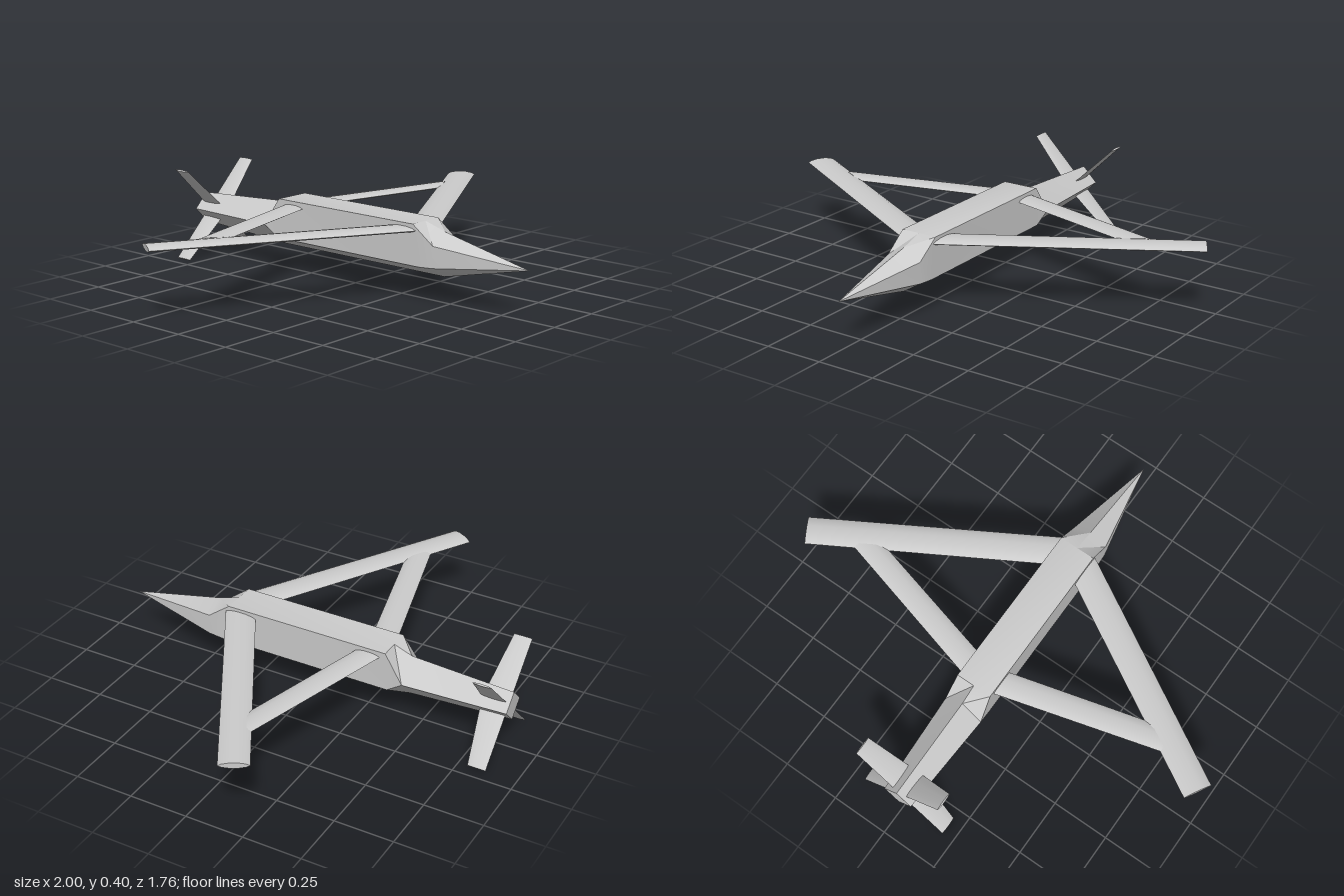
import * as THREE from 'three';
import { toCreasedNormals } from 'three/addons/utils/BufferGeometryUtils.js';

const material = new THREE.MeshStandardMaterial({ color: 0xcccccc });

// Closed skin over a row of rings (arrays of Vector3 with equal counts), capped at both ends
function loft(rings, crease) {
  const tris = [];
  const add = (a, b, c) => {
    const n = b.clone().sub(a).cross(c.clone().sub(a));
    if (n.length() > 1e-9) tris.push([a, b, c]);
  };
  const n = rings[0].length;
  for (let i = 0; i + 1 < rings.length; i++) {
    for (let j = 0; j < n; j++) {
      const k = (j + 1) % n, p = rings[i], q = rings[i + 1];
      add(p[j], p[k], q[k]);
      add(p[j], q[k], q[j]);
    }
  }
  const first = rings[0], last = rings[rings.length - 1];
  for (let j = 1; j + 1 < n; j++) {
    add(first[0], first[j + 1], first[j]);
    add(last[0], last[j], last[j + 1]);
  }
  // A negative volume means the skin is inside out
  let volume = 0;
  for (const [a, b, c] of tris) volume += a.dot(b.clone().cross(c));
  const points = tris.flatMap(([a, b, c]) => (volume < 0 ? [a, c, b] : [a, b, c]));
  const geometry = new THREE.BufferGeometry().setFromPoints(points);
  geometry.computeVertexNormals();
  return toCreasedNormals(geometry, crease);
}

// Six-sided hull ring: ridge, upper corners, lower corners, keel
function hullRing(ridge, keel, upper, lower) {
  const at = (x, [y, z]) => new THREE.Vector3(x, y, z);
  return [
    at(0, ridge), at(upper[0], upper.slice(1)), at(lower[0], lower.slice(1)),
    at(0, keel), at(-lower[0], lower.slice(1)), at(-upper[0], upper.slice(1)),
  ];
}

// Thin lens section between a leading and a trailing point, given as [span, chord]
const PROFILE = [[0, 0], [0.12, 0.6], [0.35, 1], [0.65, 1], [0.88, 0.6], [1, 0]];
function foilRing(lead, trail, half, side) {
  const point = ([t, h], sign) => new THREE.Vector3(
    side * THREE.MathUtils.lerp(lead[0], trail[0], t),
    sign * h * half,
    THREE.MathUtils.lerp(lead[1], trail[1], t));
  return [
    ...PROFILE.map((p) => point(p, 1)),
    ...PROFILE.slice(1, -1).reverse().map((p) => point(p, -1)),
  ];
}

function foil(name, root, tip, half, side = 1) {
  const rings = [foilRing(...root, half, side), foilRing(...tip, half, side)];
  const mesh = new THREE.Mesh(loft(rings, 0.6), material);
  mesh.name = name;
  return mesh;
}

export function createModel() {
  const model = new THREE.Group();
  model.name = 'glider';

  // Body: pointed nose, flat-topped middle, diamond tail
  const body = new THREE.Mesh(loft([
    hullRing([0.2, 0.88], [0.2, 0.88], [0, 0.2, 0.88], [0, 0.2, 0.88]),
    hullRing([0.29, 0.47], [0.107, 0.47], [0.078, 0.245, 0.47], [0.078, 0.155, 0.47]),
    hullRing([0.32, 0.37], [0.107, 0.4], [0.08, 0.32, 0.37], [0.08, 0.15, 0.4]),
    hullRing([0.32, -0.36], [0.107, -0.4], [0.08, 0.32, -0.36], [0.08, 0.15, -0.37]),
    hullRing([0.29, -0.44], [0.11, -0.44], [0.088, 0.2, -0.44], [0.088, 0.2, -0.44]),
    hullRing([0.265, -0.885], [0.135, -0.885], [0.065, 0.2, -0.885], [0.065, 0.2, -0.885]),
  ], 0.5), material);
  body.name = 'body';
  model.add(body);

  // Joined wings: a long swept-back front pair met by a swept-forward rear pair
  for (const side of [1, -1]) {
    const label = side > 0 ? 'left' : 'right';
    const front = foil(label + 'FrontWing',
      [[0.06, 0.397], [0.06, 0.252]], [[1, -0.15], [0.94, -0.255]], 0.012, side);
    const rear = foil(label + 'RearWing',
      [[0.05, -0.233], [0.05, -0.343]], [[0.66, -0.072], [0.785, -0.143]], 0.01, side);
    for (const wing of [front, rear]) {
      wing.position.y = 0.294;
      model.add(wing);
    }
  }

  // Four tail fins set crosswise on the diamond faces
  for (let i = 0; i < 4; i++) {
    const fin = foil('tailFin' + (i + 1),
      [[0.04, -0.758], [0.04, -0.868]], [[0.278, -0.79], [0.278, -0.868]], 0.004);
    fin.position.y = 0.2;
    fin.rotation.z = Math.PI / 4 + (i * Math.PI) / 2;
    model.add(fin);
  }
  return model;
}
